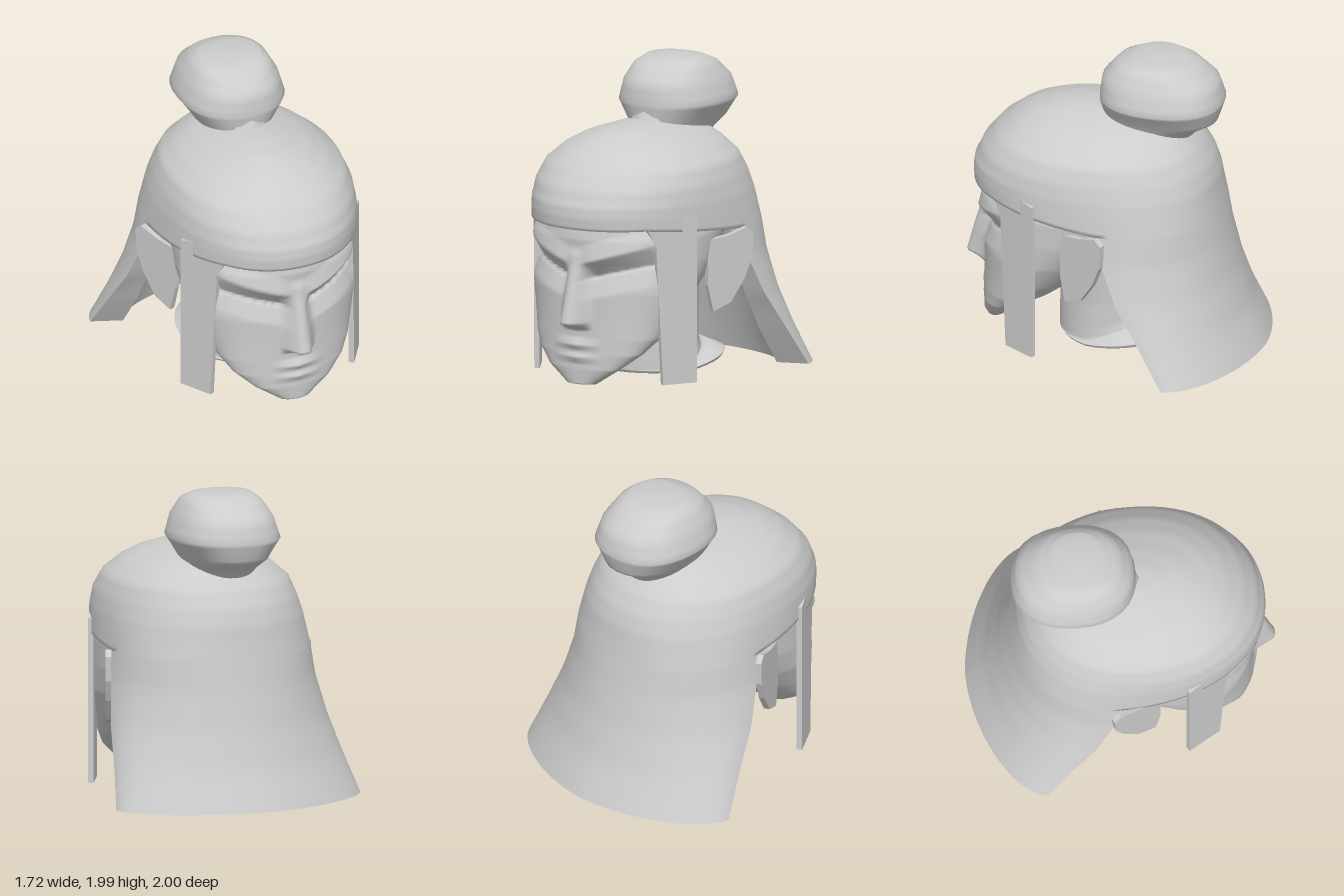
import * as THREE from 'three';
import { mergeVertices } from 'three/addons/utils/BufferGeometryUtils.js';

const clamp = THREE.MathUtils.clamp, lerp = THREE.MathUtils.lerp;

// smooth surface from fn(u, v) -> [x, y, z], u and v in 0..1
function grid(fn, nu, nv) {
  const pos = [], idx = [];
  for (let j = 0; j <= nv; j++)
    for (let i = 0; i <= nu; i++) pos.push(...fn(i / nu, j / nv));
  for (let j = 0; j < nv; j++)
    for (let i = 0; i < nu; i++) {
      const a = j * (nu + 1) + i, b = a + nu + 1;
      idx.push(a, a + 1, b + 1, a, b + 1, b);
    }
  let g = new THREE.BufferGeometry();
  g.setAttribute('position', new THREE.Float32BufferAttribute(pos, 3));
  g.setIndex(idx);
  g = mergeVertices(g, 1e-5);
  g.computeVertexNormals();
  return g;
}

// interpolated row of a table, v in 0..1 over the row index
function rowAt(rows, v) {
  const f = v * (rows.length - 1), i = Math.min(Math.floor(f), rows.length - 2);
  return rows[i].map((a, k) => lerp(a, rows[i + 1][k], f - i));
}

// point on an oval ring; row = [y, halfWidth, zFront, zBack, zWidest]
function ring([y, w, front, back, mid = (front + back) / 2], angle, power = 2) {
  const s = Math.sin(angle), c = Math.cos(angle), e = 2 / power;
  return [
    w * Math.sign(s) * Math.abs(s) ** e, y,
    mid + (c > 0 ? front - mid : back - mid) * Math.abs(c) ** e,
  ];
}

// brow ridge, eye sockets, nose and lips as a push along z
function faceRelief(x, y) {
  const ax = Math.abs(x);
  let d = 0;
  const brow = 0.78 + 0.3 * ax, lid = 0.67 + 0.25 * ax;
  const mask = clamp((ax - 0.04) / 0.06, 0, 1) * clamp((0.52 - ax) / 0.07, 0, 1);
  const s = (y - lid) / (brow - lid);
  if (s > 1) d += mask * 0.04 * Math.max(0, 1 - (y - brow) / 0.12);
  else if (s > 0) d += mask * lerp(-0.07, 0.04, s);
  else d -= mask * 0.045 * Math.max(0, 1 - (lid - y) / 0.13);
  // nose
  if (y > 0.36 && y < 0.9) {
    const t = clamp((y - 0.41) / 0.45, 0, 1);
    const h = lerp(0.14, 0.025, t) * clamp((y - 0.36) / 0.05, 0, 1) * clamp((0.9 - y) / 0.05, 0, 1);
    d += h * clamp((lerp(0.115, 0.09, t) - ax) / 0.08, 0, 1);
  }
  // lips
  const m = clamp(1 - ax / 0.19, 0, 1);
  d += m * 0.03 * Math.max(0, 1 - Math.abs(y - 0.26) / 0.05);
  d += m * 0.025 * Math.max(0, 1 - Math.abs(y - 0.18) / 0.045);
  return d;
}

function plate(points, depth) {
  const shape = new THREE.Shape(points.map(p => new THREE.Vector2(...p)));
  return new THREE.ExtrudeGeometry(shape, { depth, bevelEnabled: false });
}

export function createModel() {
  const model = new THREE.Group();
  const clay = new THREE.MeshStandardMaterial({ color: 0xcccccc, side: THREE.DoubleSide });
  clay.name = 'light grey';
  const add = (name, geometry, parent = model) => {
    const mesh = new THREE.Mesh(geometry, clay);
    mesh.name = name;
    parent.add(mesh);
    return mesh;
  };

  // head, with the jaw rising towards the ears
  const headRows = [
    [0.0, 0.0, 0.79, 0.79], [0.0, 0.11, 0.86, 0.73], [0.1, 0.26, 0.865, 0.66],
    [0.2, 0.38, 0.86, 0.5], [0.3, 0.45, 0.86, 0.32], [0.43, 0.5, 0.86, 0.14],
    [0.6, 0.56, 0.86, -0.05], [0.78, 0.59, 0.86, -0.28], [0.95, 0.6, 0.88, -0.42],
    [1.08, 0.58, 0.86, -0.48], [1.25, 0.5, 0.75, -0.45], [1.4, 0.3, 0.5, -0.25],
  ];
  add('head', grid((u, v) => {
    const a = u * Math.PI * 2, p = ring(rowAt(headRows, v), a);
    if (Math.cos(a) > 0) p[2] += faceRelief(p[0], p[1]) * clamp(Math.cos(a) * 4, 0, 1);
    return p;
  }, 160, 132));

  // neck with shoulders sloping out at the back; the last number lifts the back of the row
  const neckRows = [
    [0.0, 0.0, 0.0, 0.0, 0.0, 0.05], [0.0, 0.41, 0.36, -0.49, -0.1, 0.06],
    [0.015, 0.42, 0.37, -0.51, -0.1, 0.07], [0.02, 0.345, 0.37, -0.3, 0.04, 0.15],
    [0.1, 0.34, 0.37, -0.27, 0.05, 0.12], [0.3, 0.34, 0.365, -0.26, 0.05, 0.05],
    [0.75, 0.38, 0.36, -0.2, 0.08, 0],
  ];
  add('neck', grid((u, v) => {
    const row = rowAt(neckRows, v), p = ring(row, u * Math.PI * 2);
    p[1] += row[5] * clamp((0.12 - p[2]) / 0.4, 0, 1);
    return p;
  }, 40, 24));

  // hair cap, with a turned-in edge along the fringe
  const capRows = [
    [0.97, 0.59, 0.85, -0.5, -0.05], [0.95, 0.66, 0.93, -0.705, -0.05],
    [1.06, 0.648, 0.935, -0.685, 0.0], [1.16, 0.635, 0.925, -0.67, 0.05],
    [1.27, 0.61, 0.88, -0.635, 0.1], [1.38, 0.565, 0.79, -0.57, 0.1],
    [1.47, 0.46, 0.68, -0.49, 0.1], [1.53, 0.35, 0.57, -0.42, 0.1],
    [1.58, 0.2, 0.42, -0.3, 0.08], [1.605, 0.09, 0.24, -0.15, 0.05], [1.61, 0, 0.05, 0.05, 0.05],
  ];
  add('hairCap', grid((u, v) => {
    const a = u * Math.PI * 2, c = Math.cos(a);
    const p = ring(rowAt(capRows, c > 0.02 ? v : Math.max(v, 0.1)), a, 2.2);
    // the fringe hangs a little higher in front than the hair over the ears
    p[1] += 0.075 * clamp(c * 1.3, 0, 1) * clamp((1.2 - p[1]) / 0.25, 0, 1);
    return p;
  }, 72, 40));

  // long hair falling down the back: rows [y, halfWidth, 0, zBack, zSideEdge]
  const outer = [
    [0, 0.86, 0, -1.0, -0.53], [0.25, 0.8, 0, -0.885, -0.37], [0.5, 0.745, 0, -0.805, -0.2],
    [0.75, 0.69, 0, -0.745, -0.09], [0.95, 0.66, 0, -0.705, -0.05],
  ];
  const inner = [
    [0, 0.66, 0, -0.74, -0.46], [0.25, 0.63, 0, -0.66, -0.3], [0.5, 0.6, 0, -0.58, -0.18],
    [0.75, 0.58, 0, -0.52, -0.08], [0.95, 0.57, 0, -0.47, -0.05],
  ];
  const backPoint = (rows, u, v) =>
    ring(rowAt(rows, v), Math.PI * (0.5 + u), lerp(1.7, 2.2, v));
  const between = (u, v, t) => {
    const q = backPoint(inner, u, v);
    return backPoint(outer, u, v).map((c, k) => lerp(c, q[k], t));
  };
  const backHair = new THREE.Group();
  backHair.name = 'backHair';
  model.add(backHair);
  add('backHairOuter', grid((u, v) => between(u, v, 0), 36, 16), backHair);
  add('backHairInner', grid((u, v) => between(1 - u, v, 1), 36, 16), backHair);
  add('backHairHem', grid((u, v) => between(u, 0, 1 - v), 36, 1), backHair);
  add('backHairEdgeLeft', grid((u, v) => between(0, v, 1 - u), 1, 16), backHair);
  add('backHairEdgeRight', grid((u, v) => between(1, v, u), 1, 16), backHair);

  // bun, its underside lower at the back
  const bunRows = [
    [1.44, 0.18, 0.02, -0.5], [1.5, 0.22, 0.06, -0.55], [1.57, 0.26, 0.08, -0.67],
    [1.63, 0.3, 0.09, -0.69], [1.7, 0.35, 0.1, -0.71], [1.83, 0.31, 0.085, -0.67],
    [1.93, 0.255, 0.0, -0.55], [1.975, 0.2, -0.11, -0.44], [1.99, 0, -0.27, -0.27],
  ];
  add('bun', grid((u, v) => ring(rowAt(bunRows, v), u * Math.PI * 2, 2.3), 32, 24));
  const knot = add('bunKnot', new THREE.CylinderGeometry(0.1, 0.16, 0.12, 8));
  knot.position.set(0, 1.63, -0.02);

  // ears and the flat locks in front of them
  const earShape = [
    [0, 0.6], [0.04, 0.43], [0.17, 0.48], [0.27, 0.62], [0.33, 0.76],
    [0.34, 0.92], [0.29, 0.96], [0.16, 0.92], [0, 0.9],
  ];
  const lockShape = [[0, 0], [0.24, 0], [0.29, 0.92], [0.38, 1.07], [0.2, 1.12], [0, 1.08]];
  for (const [side, sx] of [['left', 1], ['right', -1]]) {
    const group = new THREE.Group();
    group.name = side + 'Side';
    group.scale.x = sx;
    model.add(group);
    const ear = add(side + 'Ear', plate(earShape, 0.04), group);
    ear.position.set(0.55, 0, 0.2);
    ear.rotation.y = 1.13;
    const lock = add(side + 'Lock', plate(lockShape, 0.035), group);
    lock.position.set(0.625, 0.005, 0.4);
    lock.rotation.y = -2.11;
  }
  return model;
}
